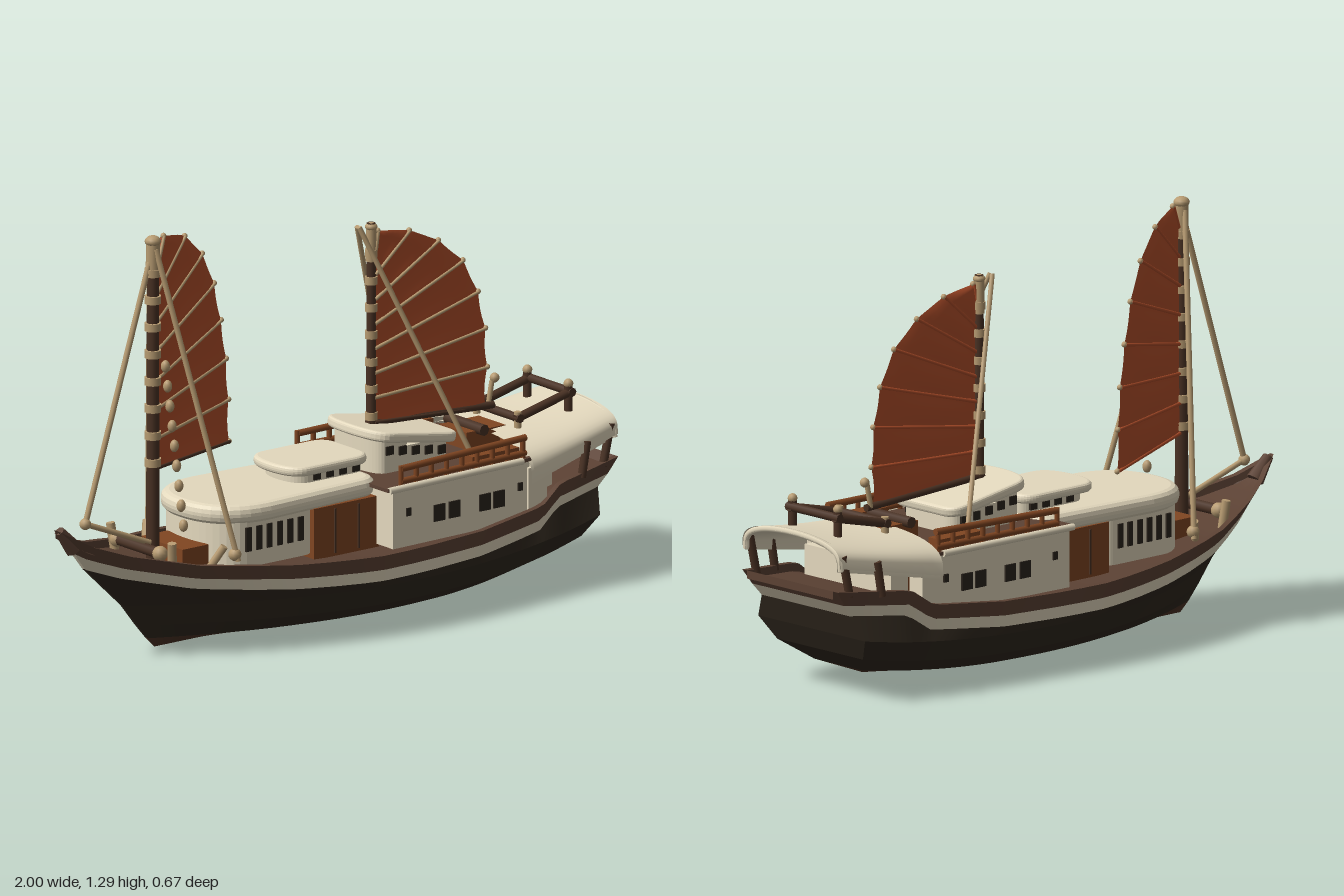
import * as THREE from 'three';

const mat = (name, color, side = THREE.FrontSide) => {
  const m = new THREE.MeshStandardMaterial({ color, side });
  m.name = name;
  return m;
};
const V = (x, y, z) => new THREE.Vector3(x, y, z);

// piecewise linear lookup in a short table of [x, value]
const table = pts => x => {
  for (let i = 1; i < pts.length; i++) {
    const [a, b] = [pts[i - 1], pts[i]];
    if (x <= b[0]) return THREE.MathUtils.lerp(a[1], b[1], Math.max(0, (x - a[0]) / (b[0] - a[0])));
  }
  return pts[pts.length - 1][1];
};

// surface from a rule f(u, v) -> [x, y, z]
function surface(nu, nv, f) {
  const g = new THREE.PlaneGeometry(1, 1, nu, nv);
  const p = g.attributes.position, uv = g.attributes.uv;
  for (let i = 0; i < p.count; i++) p.setXYZ(i, ...f(uv.getX(i), uv.getY(i)));
  g.computeVertexNormals();
  return g;
}

export function createModel() {
  const D = THREE.DoubleSide;
  const hullDark = mat('dark hull', 0x30281e, D), keelBrown = mat('keel brown', 0x4e3426, D);
  const brown = mat('deck brown', 0x5c4234, D), cream = mat('cream paint', 0xe4d9be, D);
  const wood = mat('varnished wood', 0x814622), tan = mat('tan spar', 0xb89c72);
  const red = mat('rust sail', 0xb4502b, D), glass = mat('dark window', 0x2b241d);
  const mastBrown = mat('mast brown', 0x4a3224);

  const boat = new THREE.Group();
  boat.name = 'junkBoat';
  const add = (name, geo, m, x = 0, y = 0, z = 0) => {
    const mesh = new THREE.Mesh(geo, m);
    mesh.name = name;
    mesh.position.set(x, y, z);
    boat.add(mesh);
    return mesh;
  };
  const box = (name, m, x0, x1, y0, y1, z0, z1) => add(name,
    new THREE.BoxGeometry(x1 - x0, y1 - y0, z1 - z0), m, (x0 + x1) / 2, (y0 + y1) / 2, (z0 + z1) / 2);
  const spar = (name, m, a, b, r0, r1 = r0) => {
    const s = add(name, new THREE.CylinderGeometry(r1, r0, a.distanceTo(b), 8), m);
    s.position.copy(a).lerp(b, 0.5);
    s.quaternion.setFromUnitVectors(V(0, 1, 0), b.clone().sub(a).normalize());
    return s;
  };
  const blob = (name, m, x, y, z, r, sy = 1) => add(name, new THREE.SphereGeometry(r, 10, 8), m, x, y, z).scale.set(1, sy, 1);

  // Hull: each row runs from the stem to the transom
  const sheer = table([[-1, .43], [-.9, .372], [-.8, .338], [-.6, .295], [-.3, .265], [0, .25], [.4, .255], [.66, .28], [.74, .335], [1, .362]]);
  const beam = table([[-1, .008], [-.9, .065], [-.8, .118], [-.7, .166], [-.6, .208], [-.5, .244], [-.4, .272], [-.3, .296], [-.2, .316], [-.1, .329], [0, .335], [.1, .336], [.2, .332], [.4, .312], [.6, .285], [.8, .252], [1, .21]]);
  const row = (bowX, sternX, mid, stern, kMid, kStern) => t => {
    const x = THREE.MathUtils.lerp(bowX, sternX, t), e = Math.max(0, (t - .65) / .35) ** 2;
    const y = mid < 0 ? sheer(x) + mid : mid + (stern - mid) * e;
    return [x, y, beam(-1 + 2 * t) * (kMid + (kStern - kMid) * e)];
  };
  const keel = row(-.62, .7, 0, .03, 0, 0), garboard = row(-.65, .8, .032, .07, .59, .5);
  const bilge = row(-.69, .875, .08, .13, .84, .9), side = row(-.744, .91, .15, .2, .965, 1.12);
  const stripeLow = row(-.89, .935, -.08, 0, .985, .92), stripeTop = row(-.935, .965, -.045, 0, .99, .97);
  const gunwale = row(-1, 1, -.0001, 0, 1, 1);
  const inner = t => { const [x, y, z] = gunwale(t); return [x, y, Math.max(0, z - .02)]; };
  const deckEdge = t => { const [x, y, z] = inner(t); return [x, y - .025, z]; };
  const deckMid = t => { const [x, y] = deckEdge(t); return [x, y, 0]; };
  const band = (name, m, lo, hi) => {
    for (const s of [1, -1]) add(name, surface(60, 1, (u, v) => {
      const [x, y, z] = (v > .5 ? hi : lo)(s > 0 ? u : 1 - u);
      return [x, y, s * z];
    }), m);
    add(name + 'Transom', surface(1, 1, (u, v) => {
      const [x, y, z] = (v > .5 ? hi : lo)(1);
      return [x, y, z * (1 - 2 * u)];
    }), m);
  };
  band('keelBottom', keelBrown, keel, garboard);
  band('lowerHull', hullDark, garboard, bilge);
  band('bilgeHull', hullDark, bilge, side);
  band('upperHull', hullDark, side, stripeLow);
  band('hullStripe', cream, stripeLow, stripeTop);
  band('bulwark', brown, stripeTop, gunwale);
  band('gunwaleCap', brown, gunwale, inner);
  band('bulwarkInside', brown, inner, deckEdge);
  band('deck', brown, deckEdge, deckMid);
  spar('bowPost', brown, V(-.93, .36, 0), V(-.985, .425, 0), .028, .016);

  // Rounded-front slab or wall, drawn in plan and raised in y
  const slab = (name, m, x0, x1, half, y0, y1, nose, bevel = 0, aftHalf = half) => {
    const s = new THREE.Shape(), h = half - bevel, k = aftHalf - bevel, a = x0 + bevel, b = x1 - bevel, c = Math.min(.05, k / 2);
    s.moveTo(a + nose, -h);
    s.lineTo(b - c, -k);
    s.quadraticCurveTo(b, -k, b, -k + c);
    s.lineTo(b, k - c);
    s.quadraticCurveTo(b, k, b - c, k);
    s.lineTo(a + nose, h);
    s.bezierCurveTo(a + nose * .3, h, a, h * .6, a, 0);
    s.bezierCurveTo(a, -h * .6, a + nose * .3, -h, a + nose, -h);
    const g = new THREE.ExtrudeGeometry(s, { depth: y1 - y0 - 2 * bevel, bevelEnabled: bevel > 0, bevelSize: bevel, bevelThickness: bevel, bevelSegments: 3, curveSegments: 10 });
    g.rotateX(-Math.PI / 2);
    return add(name, g, m, 0, y0 + bevel, 0);
  };
  const windows = (name, xs, w, y0, y1, half) => {
    for (const x of xs) for (const s of [1, -1]) box(name, glass, x - w / 2, x + w / 2, y0, y1, s * half - .004, s * half + .004);
  };

  // Forward cabin, wooden doors and long roof
  slab('forwardCabin', cream, -.5, -.14, .18, .25, .425, .12);
  windows('forwardWindow', [-.4, -.36, -.32, -.28, -.24, -.2], .02, .3, .375, .181);
  box('midshipDoors', wood, -.15, .1, .23, .39, -.185, .185);
  for (const s of [1, -1]) for (const x of [-.07, .02]) box('doorSeam', mastBrown, x - .003, x + .003, .24, .38, s * .186 - .003, s * .186 + .003);
  slab('forwardRoof', cream, -.53, .12, .2, .385, .445, .18, .025, .18);
  slab('skylightWall', cream, -.15, .12, .095, .44, .48, .06);
  windows('skylightWindow', [-.07, -.02, .03, .08], .028, .45, .47, .096);
  slab('skylightRoof', cream, -.185, .13, .12, .472, .502, .06, .012);

  // Main cabin with upper deck and railings, narrowing aft
  const cabinHalf = x => .266 - .03 * (x - .09);
  slab('mainCabin', cream, .09, .65, .266, .24, .425, 0, 0, .249);
  for (const x of [.27, .33, .45, .505]) windows('mainWindow', [x], .043, .298, .35, cabinHalf(x));
  for (const x of [.15, .59]) windows('porthole', [x], .018, .335, .36, cabinHalf(x));
  slab('upperDeck', brown, .07, .66, .268, .42, .431, 0, 0, .252);
  for (const s of [1, -1]) {
    const rail = (x, y) => V(x, y, s * (cabinHalf(x) - .012));
    spar('deckCurb', cream, V(.075, .425, s * .266), V(.6, .425, s * .25), .011);
    spar('lowRail', wood, rail(.13, .444), rail(.62, .446), .01);
    spar('topRail', wood, rail(.13, .483), rail(.62, .493), .011);
    for (let i = 0; i < 9; i++) spar('railPost', wood, rail(.13 + i * .06, .425), rail(.13 + i * .06, .492), .008);
    box('deckBench', wood, .42, .6, .43, .465, s * .21 - .025, s * .21 + .025);
  }
  box('deckLocker', wood, .53, .68, .43, .485, -.065, .065);
  spar('lockerRoll', mastBrown, V(.58, .49, -.09), V(.58, .49, .09), .018);

  // Pilot house with a roof that slopes aft
  slab('pilotHouse', cream, .14, .43, .12, .42, .505, .04);
  slab('pilotFront', cream, .14, .28, .12, .5, .532, .04);
  for (const x of [.19, .24, .29, .34, .39]) windows('pilotWindow', [x], .028, .516 - .15 * x, .543 - .15 * x, .121);
  const pilotRoof = slab('pilotRoof', cream, -.17, .17, .145, -.016, .016, .06, .01);
  pilotRoof.position.set(.285, .523, 0);
  pilotRoof.rotation.z = -.16;

  // Aft canopy with rolled rim, bulkhead and posts
  const canopyAt = lift => (u, v) => {
    const a = Math.PI * v, w = .278 - .063 * u, c = Math.cos(a);
    const edge = .365 + .07 * u, top = .482 + .038 * u - .006 * Math.sin(Math.PI * u);
    return [.625 + .37 * u, edge + (top - edge) * Math.pow(Math.sin(a), .55) - lift, -c * (w - lift)];
  };
  add('canopy', surface(10, 24, canopyAt(0)), cream);
  add('canopyLining', surface(10, 24, canopyAt(.012)), cream);
  const rim = [];
  for (let i = 0; i <= 20; i++) rim.push(V(...canopyAt(.008)(.975, i / 20)));
  add('canopyRim', new THREE.TubeGeometry(new THREE.CatmullRomCurve3(rim), 48, .01, 6), cream);
  box('aftBulkhead', wood, .66, .68, .28, .46, -.165, .165);
  box('aftBench', cream, .69, .76, .3, .405, -.19, .19);
  for (const s of [1, -1]) {
    box('aftCabinSide', cream, .62, .69, .26, .4, s * .245 - .01, s * .245 + .01);
    spar('canopyPost', mastBrown, V(.84, .33, s * .235), V(.86, .44, s * .235), .013);
    spar('sternPost', mastBrown, V(.945, .34, s * .205), V(.975, .47, s * .205), .013);
  }

  // Frame on the canopy
  for (const s of [1, -1]) {
    spar('frameRail', mastBrown, V(.69, .508, s * .1), V(.91, .56, s * .1), .014);
    spar('frameBar', mastBrown, V(.8 + s * .1, .535 + s * .024, -.115), V(.8 + s * .1, .535 + s * .024, .115), .014);
    spar('framePost', mastBrown, V(.895, .5, s * .1), V(.895, .58, s * .1), .013);
    blob('framePostCap', tan, .895, .585, s * .1, .015);
    spar('frameFoot', tan, V(.7, .48, s * .1), V(.7, .53, s * .1), .012);
  }

  // Sail: battens fan out from the mast, padded cloth scallops between them
  function sail(name, luff, leech, place) {
    const [a, b] = luff, n = 7;
    const curve = new THREE.CatmullRomCurve3(leech.map(([x, y]) => V(x, y, 0)));
    const at = (u, v) => {
      const L = V(a[0] + (b[0] - a[0]) * v, a[1] + (b[1] - a[1]) * v, 0);
      const p = L.lerp(curve.getPointAt(v), u);
      p.z = place(p.x, v);
      return p;
    };
    for (const s of [1, -1]) add(name, surface(10, n * 6, (u, v) => {
      const puff = Math.abs(Math.sin(Math.PI * n * v));
      const p = at(u * (1 - .02 * puff), v);
      return [p.x, p.y, p.z + s * .006 * Math.min(1, 12 * u * (1 - u)) - .005 * puff * Math.sin(Math.PI * u)];
    }), red);
    for (let i = 0; i <= n; i++) {
      const p = at(0, i / n), q = at(1, i / n);
      for (const [s, m] of [[1, i ? tan : mastBrown], [-1, red]])
        spar(name + 'Batten', m, V(p.x, p.y, p.z + s * .005), V(q.x, q.y, q.z + s * .005), .006, .005);
      blob(name + 'BattenEnd', tan, q.x, q.y, q.z, .009);
    }
  }
  sail('foresail', [[-.63, .56], [-.6, 1.2]],
    [[-.2, .535], [-.2, .7], [-.212, .82], [-.237, .93], [-.282, 1.07], [-.353, 1.173], [-.457, 1.248], [-.565, 1.274]],
    (x, v) => -(.4 + .05 * v) * (x + .62));
  sail('aftSail', [[.22, .56], [.225, 1.1]],
    [[.65, .535], [.657, .66], [.651, .77], [.625, .89], [.57, 1.0], [.46, 1.093], [.34, 1.143], [.235, 1.158]],
    () => .006);
  spar('aftBoom', mastBrown, V(.2, .56, 0), V(.68, .535, .005), .012);
  spar('boomEnd', tan, V(.665, .535, 0), V(.68, .61, 0), .008);
  blob('boomHook', tan, .69, .617, 0, .015);

  // Masts with lashings
  function mast(name, x, y0, y1, r) {
    spar(name, mastBrown, V(x, y0, 0), V(x, y1, 0), r, r * .85);
    for (let y = .58; y < y1 - .04; y += .085) add(name + 'Lashing', new THREE.CylinderGeometry(r * 1.25, r * 1.25, .024, 10), tan, x, y, 0);
    spar(name + 'Top', tan, V(x, y1 - .12, 0), V(x, y1 - .01, 0), r * 1.05, r);
    blob(name + 'Cap', tan, x, y1 - .012, 0, r * 1.2, .7);
  }
  mast('foremast', -.625, .26, 1.285, .021);
  mast('aftMast', .215, .42, 1.185, .016);

  // Stays, shrouds and hanging floats
  spar('forestay', tan, V(-.625, 1.25, 0), V(-.885, .43, 0), .009);
  spar('forestayFoot', tan, V(-.885, .43, 0), V(-.66, .34, .03), .009);
  blob('stayBlock', tan, -.885, .43, 0, .018);
  for (const s of [1, -1]) {
    spar('foreShroud', tan, V(-.625, 1.25, s * .015), V(-.47, .29, s * .22), .009);
    spar('aftShroud', tan, V(.165, 1.18, s * .005), V(.44, .48, s * .19), .008);
    blob('shroudBlock', tan, -.475, .31, s * .21, .02);
    spar('bollard', tan, V(-.66, .27, s * .14), V(-.67, .365, s * .15), .014);
    spar('cleat', tan, V(-.53, .27, s * .16), V(-.5, .335, s * .19), .012);
  }
  for (let i = 0; i < 9; i++) blob('hangingFloat', tan, -.64, .9 - i * .06, .08 + i * .011, .014, 1.4);

  // Foredeck windlass
  box('foredeckHatch', wood, -.59, -.49, .26, .32, -.1, .1);
  spar('windlass', mastBrown, V(-.68, .325, -.1), V(-.68, .325, .1), .018);
  for (const s of [1, -1]) blob('windlassEnd', tan, -.68, .325, s * .105, .024);

  return boat;
}
